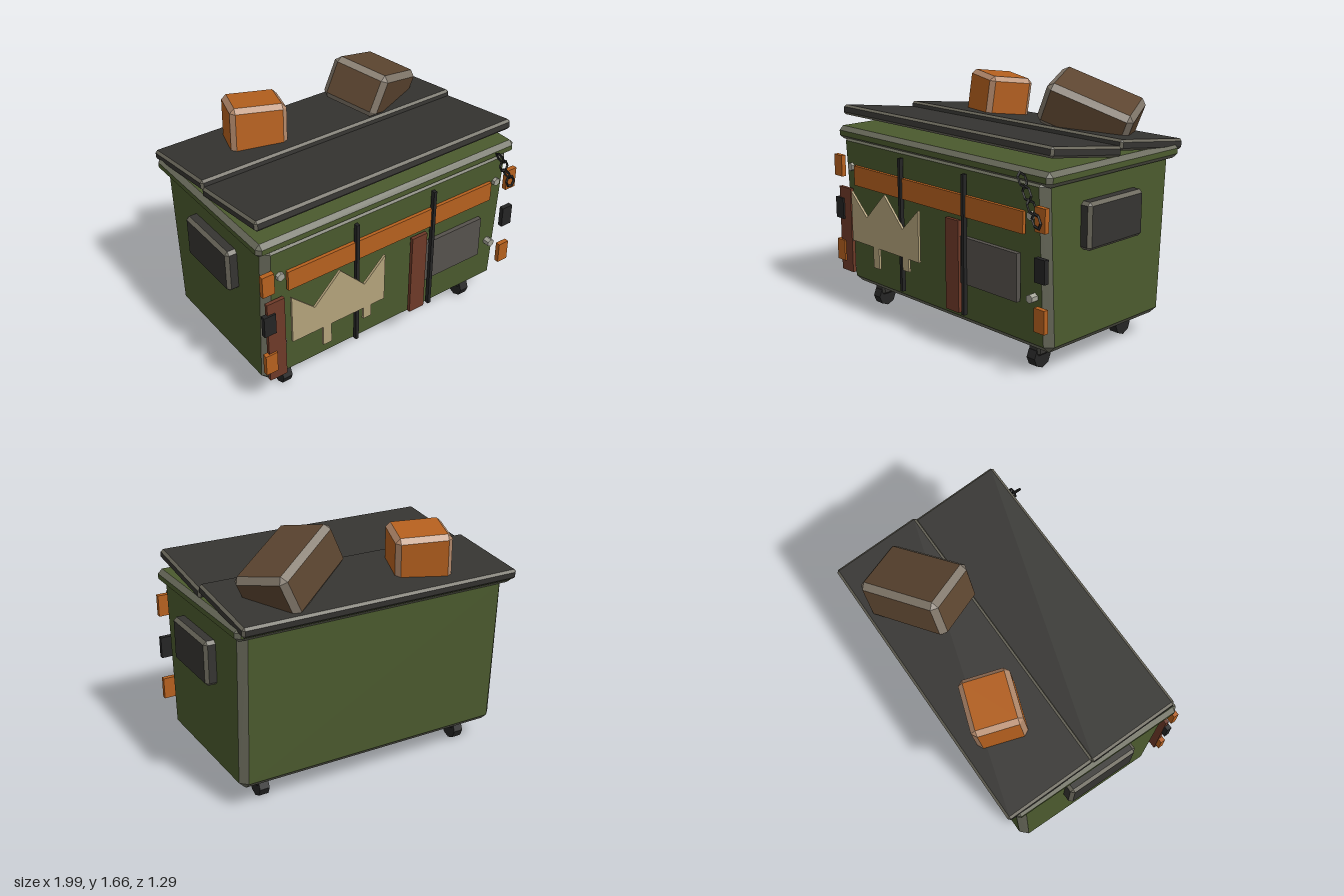
import * as THREE from 'three';
import { ConvexGeometry } from 'three/addons/geometries/ConvexGeometry.js';

const mat = (color) => new THREE.MeshStandardMaterial({ color, flatShading: true });
const M = {
  green: mat(0x4b5a2e), greenEdge: mat(0x696a5b), lid: mat(0x353431), lidEdge: mat(0x686559),
  black: mat(0x242424), orange: mat(0xb5601e), orangeEdge: mat(0xb48a6c), brown: mat(0x5c4530),
  brownEdge: mat(0x81776a), rust: mat(0x6e3a28), cream: mat(0xb3a27a), grey: mat(0x55514c), bolt: mat(0xa3a296),
};

// Chamfered box: six panels in one colour, worn edges in another; deform(v) may reshape it
function wornBox(name, [w, h, d], bevel, faceMat, edgeMat, deform = () => {}) {
  const half = [w / 2, h / 2, d / 2];
  const points = [];
  for (const sx of [-1, 1]) for (const sy of [-1, 1]) for (const sz of [-1, 1]) {
    for (let axis = 0; axis < 3; axis++) {
      const c = [sx, sy, sz].map((s, i) => s * (half[i] - (i === axis ? 0 : bevel)));
      points.push(new THREE.Vector3(...c));
    }
  }
  const pos = new ConvexGeometry(points).getAttribute('position');
  const panels = [], edges = [];
  const tri = new THREE.Triangle(), n = new THREE.Vector3();
  for (let i = 0; i < pos.count; i += 3) {
    tri.setFromAttributeAndIndices(pos, i, i + 1, i + 2);
    tri.getNormal(n);
    const flat = Math.max(Math.abs(n.x), Math.abs(n.y), Math.abs(n.z)) > 0.95;
    for (const v of [tri.a, tri.b, tri.c]) {
      deform(v);
      (flat ? panels : edges).push(v.x, v.y, v.z);
    }
  }
  const group = new THREE.Group();
  group.name = name;
  for (const [part, data, material] of [['Panels', panels, faceMat], ['Edges', edges, edgeMat]]) {
    const g = new THREE.BufferGeometry();
    g.setAttribute('position', new THREE.Float32BufferAttribute(data, 3));
    g.computeVertexNormals();
    const mesh = new THREE.Mesh(g, material);
    mesh.name = name + part;
    group.add(mesh);
  }
  return group;
}

export function createModel() {
  const model = new THREE.Group();
  model.name = 'dumpster';

  const place = (obj, p, r = [0, 0, 0]) => {
    obj.position.set(...p);
    obj.rotation.set(...r);
    model.add(obj);
    return obj;
  };
  const mesh = (name, geometry, material, p, r) => {
    const m = new THREE.Mesh(geometry, material);
    m.name = name;
    return place(m, p, r);
  };
  // Flat panel given by its x, y and z limits
  const slab = (name, material, x0, x1, y0, y1, z0, z1) => mesh(name,
    new THREE.BoxGeometry(x1 - x0, y1 - y0, z1 - z0), material,
    [(x0 + x1) / 2, (y0 + y1) / 2, (z0 + z1) / 2]);

  // Container, wider towards the top, with its rim
  place(wornBox('container', [1.85, 1.04, 1.02], 0.045, M.green, M.greenEdge,
    (v) => { v.z *= 1 + 0.1 * (v.y + 0.52) / 0.99; }), [0, 0.67, -0.003]);
  place(wornBox('rim', [1.93, 0.09, 1.165], 0.028, M.green, M.greenEdge,
    (v) => { if (v.y < -0.03) v.z *= 0.985; }), [0, 1.19, -0.018]);

  // Two lid halves, the front one propped up
  place(wornBox('frontLid', [1.895, 0.065, 0.595], 0.015, M.lid, M.lidEdge), [0, 1.3, 0.232], [-0.142, 0, 0]);
  place(wornBox('backLid', [1.895, 0.065, 0.595], 0.015, M.lid, M.lidEdge), [0, 1.258, -0.352], [-0.13, 0, 0]);

  // Boxes lying on the lid
  place(wornBox('brownCarton', [0.57, 0.28, 0.385], 0.035, M.brown, M.brownEdge),
    [0.483, 1.41, -0.325], [0.215, 0.43, -0.459]);
  place(wornBox('orangeCarton', [0.355, 0.31, 0.31], 0.03, M.orange, M.orangeEdge),
    [-0.385, 1.39, -0.37], [-0.13, -0.33, -0.08]);

  // Side pockets, corner markers, bolts and wheels
  for (const s of [-1, 1]) {
    place(wornBox('sidePocket', [0.1, 0.285, 0.48], 0.02, M.lid, M.lidEdge), [s * 0.945, 0.877, 0.02]);
    for (const [y, m] of [[0.975, M.orange], [0.683, M.black], [0.39, M.orange]]) {
      mesh('cornerMarker', new THREE.BoxGeometry(0.08, 0.142, 0.032), m, [s * 0.925, y, 0.58]);
    }
    for (const y of [0.975, 0.49]) {
      mesh('bolt', new THREE.CylinderGeometry(0.027, 0.027, 0.05, 6), M.bolt, [s * 0.825, y, 0.548], [Math.PI / 2, 0, 0]);
    }
    for (const z of [0.39, -0.35]) {
      place(wornBox('wheelBracket', [0.092, 0.1, 0.092], 0.015, M.lid, M.lid), [s * 0.73, 0.13, z]);
      mesh('wheel', new THREE.CylinderGeometry(0.068, 0.068, 0.065, 8), M.black, [s * 0.73, 0.068, z], [0, 0, Math.PI / 2]);
    }
  }

  // Front panels, planks and bars
  slab('orangeStripe', M.orange, -0.78, 0.775, 0.86, 0.992, 0.553, 0.575);
  slab('leftPlank', M.rust, -0.935, -0.815, 0.25, 0.83, 0.56, 0.584);
  slab('rightPlank', M.rust, 0.13, 0.246, 0.25, 0.83, 0.56, 0.584);
  slab('greyPatch', M.grey, 0.246, 0.72, 0.44, 0.732, 0.536, 0.566);
  for (const x of [-0.295, 0.29]) slab('frontBar', M.black, x - 0.011, x + 0.011, 0.25, 1.12, 0.562, 0.59);

  // Torn poster with a jagged top and two drips
  const poster = new THREE.Shape([
    [-0.78, 0.825], [-0.78, 0.49], [-0.56, 0.49], [-0.56, 0.35], [-0.5, 0.35], [-0.5, 0.49], [-0.26, 0.49],
    [-0.26, 0.405], [-0.2, 0.405], [-0.2, 0.49], [-0.1, 0.49], [-0.1, 0.825], [-0.255, 0.675], [-0.435, 0.862],
    [-0.62, 0.675],
  ].map(([x, y]) => new THREE.Vector2(x, y)));
  mesh('tornPoster', new THREE.ExtrudeGeometry(poster, { depth: 0.016, bevelEnabled: false }), M.cream, [0, 0, 0.587]);

  // Hanging chain, every other link turned a quarter
  const link = new THREE.TorusGeometry(0.031, 0.008, 4, 6).rotateZ(Math.PI / 6).scale(1, 1.4, 1);
  for (let i = 0; i < 4; i++) {
    const chainLink = mesh('chainLink', link, M.black, [0.8 + i * 0.036, 1.182 - i * 0.071, 0.606]);
    chainLink.rotation.set(0, i % 2 ? 0 : Math.PI / 2, 0.46, 'ZYX');
  }
  return model;
}
